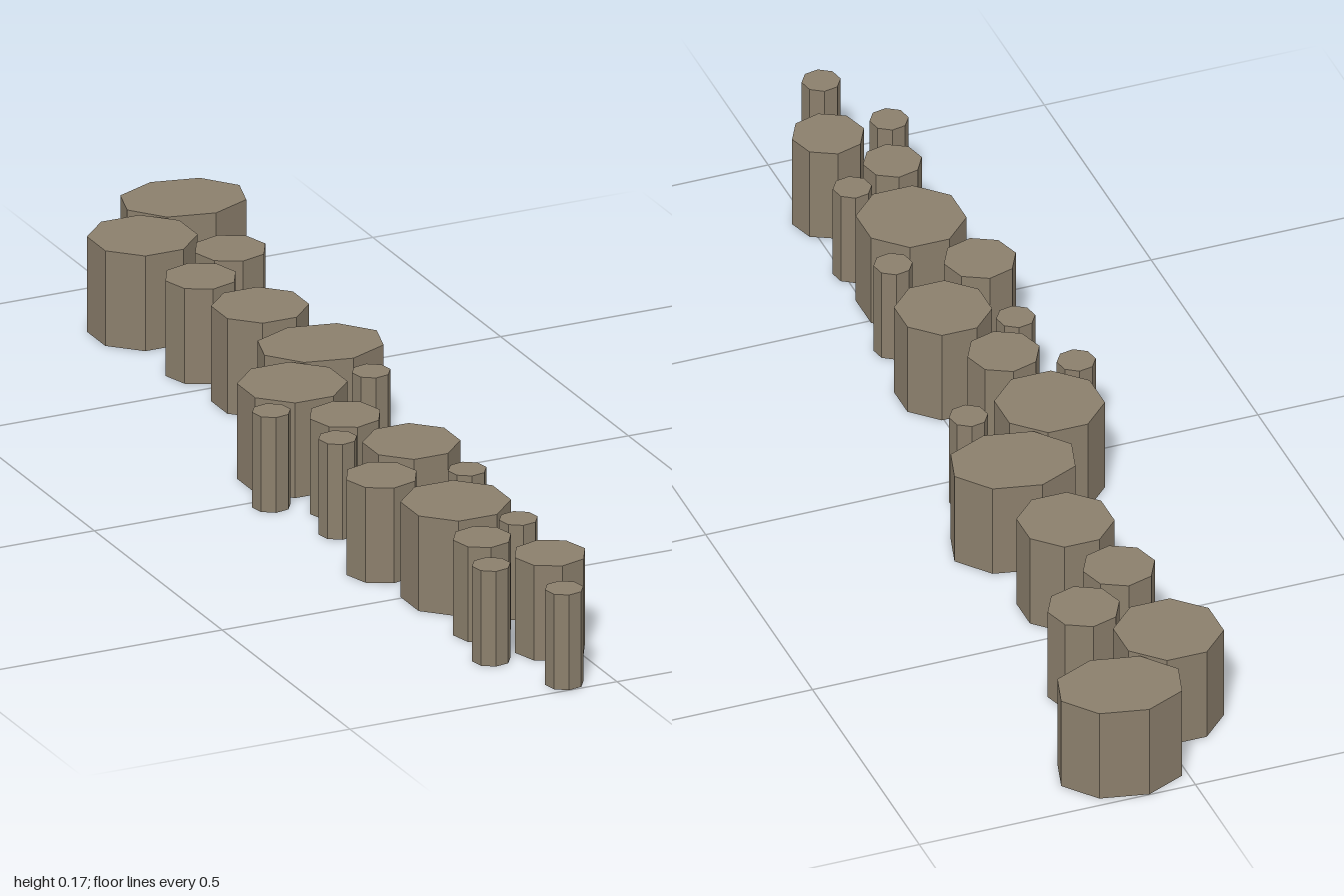
import * as THREE from 'three';

const HEIGHT = 0.173;

export function createModel() {
  const group = new THREE.Group();
  group.name = 'steppingStones';
  const material = new THREE.MeshStandardMaterial({ color: 0x8b7f6c, flatShading: true });

  // Upright eight-sided column standing on the ground
  const column = (radius) =>
    new THREE.CylinderGeometry(radius, radius, HEIGHT, 8).translate(0, HEIGHT / 2, 0);

  // Broad stone: an octagon stretched sideways and slightly skewed
  const broad = column(1).applyMatrix4(new THREE.Matrix4().makeBasis(
    new THREE.Vector3(0.11, 0, -0.01),
    new THREE.Vector3(0, 1, 0),
    new THREE.Vector3(0.02, 0, 0.087),
  ));

  // Each kind: geometry, turn about y, and [x, z] positions
  const kinds = {
    broadStone: [broad, 0, [[0.103, -0.912], [0.027, -0.216]]],
    largeStone: [column(0.0936), Math.PI / 8, [[-0.034, -0.786], [-0.094, -0.074], [-0.077, 0.53]]],
    wideStone: [column(0.083), Math.PI / 8, [[0.009, -0.415], [-0.028, 0.254]]],
    mediumStone: [column(0.063), -0.1, [
      [0.075, -0.67], [-0.025, -0.577], [-0.076, 0.095], [-0.14, 0.371], [-0.036, 0.813],
    ]],
    smallStone: [column(0.051), -0.15, [[-0.108, 0.698]]],
    pebble: [column(0.0335), -0.2, [
      [0.049, -0.064], [-0.181, 0.026], [-0.133, 0.185], [0.003, 0.408],
      [-0.016, 0.648], [-0.148, 0.817], [-0.083, 0.967],
    ]],
  };

  for (const [name, [geometry, turn, spots]] of Object.entries(kinds)) {
    spots.forEach(([x, z], i) => {
      const stone = new THREE.Mesh(geometry, material);
      stone.name = `${name}${i + 1}`;
      stone.position.set(x, 0, z);
      stone.rotation.y = turn;
      group.add(stone);
    });
  }
  return group;
}
